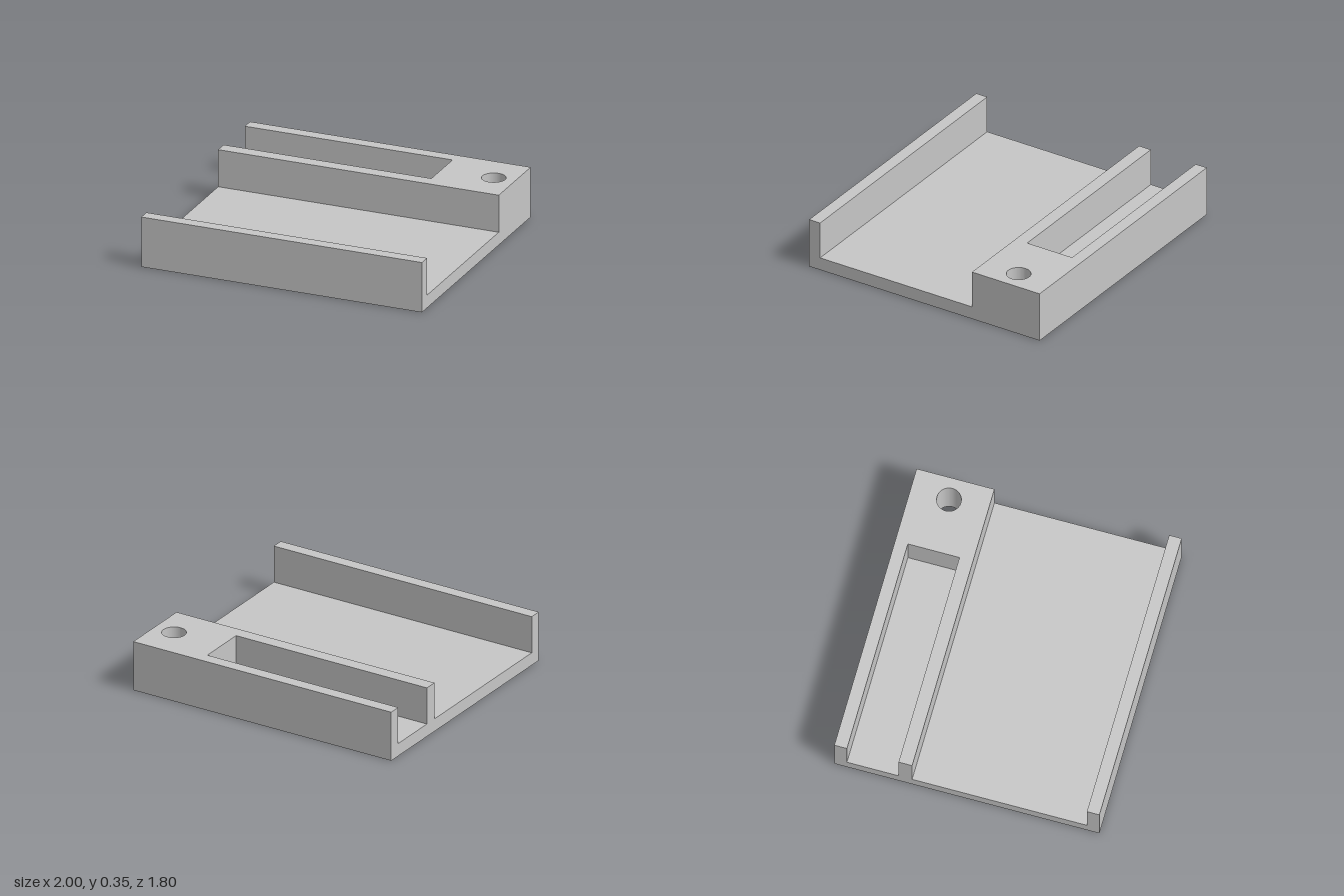
import * as THREE from 'three';

const HEIGHT = 0.352, FLOOR = 0.09;   // overall height, floor thickness
const BACK = -0.902, FRONT = 0.9;     // z limits

// Closed outline from [x, z] points, with the screw hole cut through if wanted
function plan(points, withHole) {
  const shape = new THREE.Shape(points.map(([x, z]) => new THREE.Vector2(x, -z)));
  if (withHole) {
    const hole = new THREE.Path();
    hole.absarc(0.85, 0.64, 0.081, 0, Math.PI * 2, true);
    shape.holes.push(hole);
  }
  return shape;
}

// Raise a plan outline from y0 to y1
function slab(name, shape, y0, y1, material) {
  const geometry = new THREE.ExtrudeGeometry(shape, {
    depth: y1 - y0, bevelEnabled: false, curveSegments: 48,
  });
  geometry.rotateX(-Math.PI / 2);
  geometry.translate(0, y0, 0);
  const mesh = new THREE.Mesh(geometry, material);
  mesh.name = name;
  return mesh;
}

const rect = (z0, z1) => [[-1, z1], [1, z1], [1, z0], [-1, z0]];

export function createModel() {
  const group = new THREE.Group();
  group.name = 'channelTray';
  const lightGrey = new THREE.MeshStandardMaterial({ color: 0xc6c6c6 });
  lightGrey.name = 'lightGrey';

  // Floor plate with the through hole
  group.add(slab('floorPlate', plan(rect(BACK, FRONT), true), 0, FLOOR, lightGrey));

  // Thin wall along the front edge
  group.add(slab('frontWall', plan(rect(0.815, FRONT)), FLOOR, HEIGHT, lightGrey));

  // Thick rear block with a slot open to one end, and the hole in its solid end
  const block = [
    [-1, -0.373], [1, -0.373], [1, BACK], [-1, BACK],
    [-1, -0.816], [0.48, -0.816], [0.48, -0.465], [-1, -0.465],
  ];
  group.add(slab('rearSlottedBlock', plan(block, true), FLOOR, HEIGHT, lightGrey));

  return group;
}
